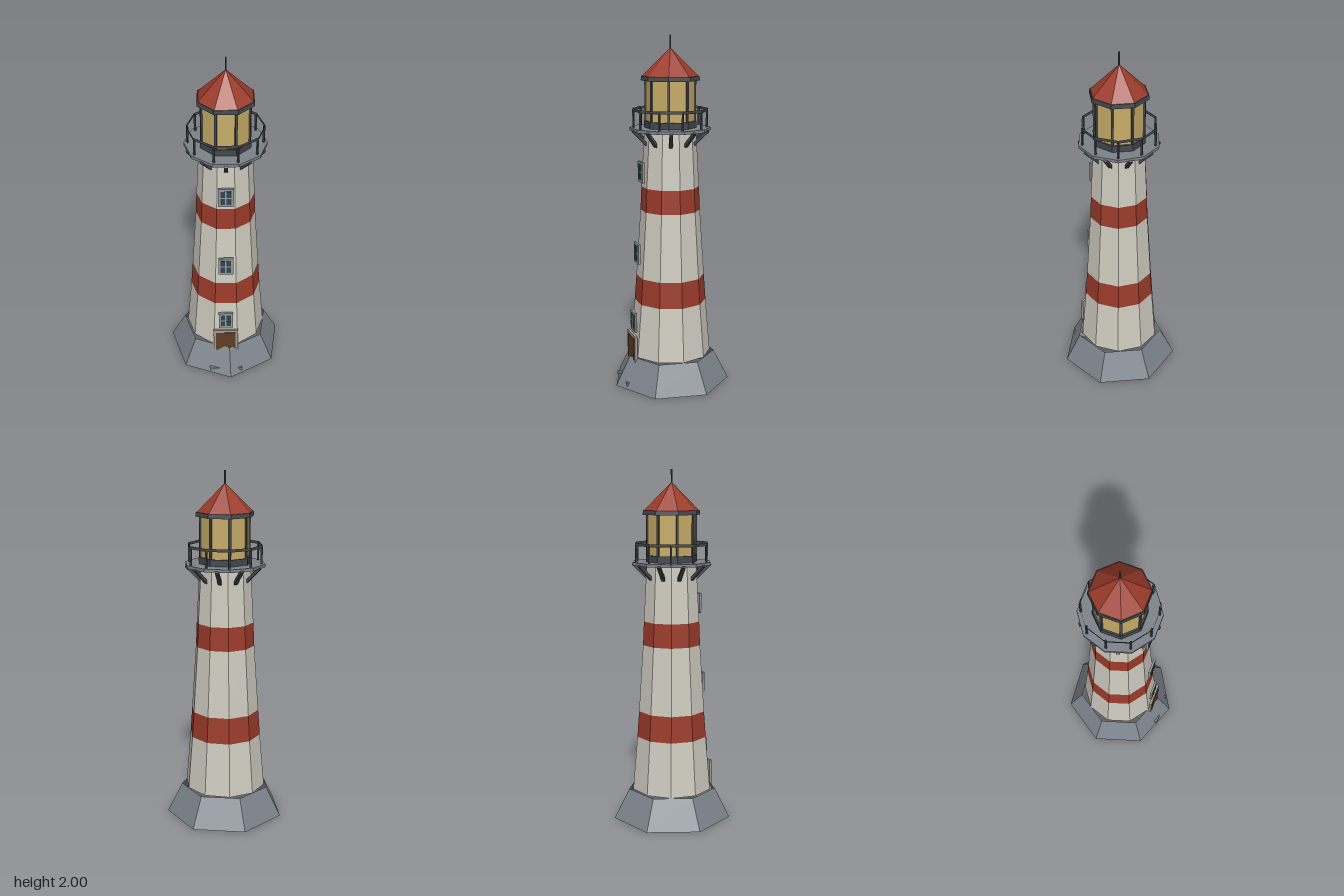
import * as THREE from 'three';

const mat = (color) => new THREE.MeshStandardMaterial({ color, flatShading: true, side: THREE.DoubleSide });
const M = {
  stone: mat(0x7d848c), wall: mat(0xcfccc0), red: mat(0x9c3b2a), metal: mat(0x43494f),
  deck: mat(0x7d828a), glow: mat(0xc9ad68), trim: mat(0x979b9c), pane: mat(0x2f4552),
  frame: mat(0xa39c8f), wood: mat(0x5f3d22),
};

export function createModel() {
  const root = new THREE.Group();
  root.name = 'lighthouse';
  const body = new THREE.Group();
  body.name = 'body';
  body.position.set(0.003, 0, -0.012);
  root.add(body);

  const add = (name, geometry, material, x = 0, y = 0, z = 0, parent = body) => {
    const mesh = new THREE.Mesh(geometry, material);
    mesh.name = name;
    mesh.position.set(x, y, z);
    parent.add(mesh);
    return mesh;
  };
  // Many-sided ring or frustum between two heights, start angle in degrees
  const prism = (name, sides, start, y0, r0, y1, r1, material, open = false) =>
    add(name, new THREE.CylinderGeometry(r1, r0, y1 - y0, sides, 1, open, THREE.MathUtils.degToRad(start)),
      material, 0, (y0 + y1) / 2, 0);
  const box = (name, w, h, d, material, x, y, z, parent) =>
    add(name, new THREE.BoxGeometry(w, h, d), material, x, y, z, parent);

  // Seven-sided open foundation
  prism('foundation', 7, 5, 0, 0.343, 0.17, 0.256, M.stone, true);

  // Ten-sided tapering tower with two red bands
  const rings = [[0.172, 0.234], [0.485, 0.207], [0.635, 0.196], [1.02, 0.17], [1.155, 0.164], [1.476, 0.146]];
  for (let i = 0; i < rings.length - 1; i++) {
    const [y0, r0] = rings[i], [y1, r1] = rings[i + 1];
    prism(i % 2 ? 'redBand' : 'towerWall', 10, 18, y0, r0, y1, r1, i % 2 ? M.red : M.wall, true);
  }

  // Gallery deck, railing and brackets
  prism('galleryDeck', 10, 18, 1.474, 0.228, 1.491, 0.228, M.deck);
  prism('handrail', 10, 18, 1.582, 0.212, 1.598, 0.212, M.metal, true);
  for (let i = 0; i < 10; i++) {
    const a = (i * Math.PI) / 5, p = a + Math.PI / 10;
    add('railPost', new THREE.CylinderGeometry(0.007, 0.007, 0.1, 5, 1, true), M.metal,
      0.206 * Math.sin(p), 1.54, 0.206 * Math.cos(p));
    const arm = new THREE.Group();
    arm.name = 'bracket';
    arm.rotation.y = a;
    body.add(arm);
    const strut = box('strut', 0.02, 0.016, 0.115, M.metal, 0, 1.437, 0.178, arm);
    strut.rotation.x = -Math.PI / 4;
  }

  // Eight-sided lantern room
  prism('lanternSill', 8, 22.5, 1.491, 0.148, 1.528, 0.148, M.metal);
  prism('lanternGlass', 8, 22.5, 1.528, 0.138, 1.755, 0.138, M.glow, true);
  for (let i = 0; i < 8; i++) {
    const a = ((i + 0.5) * Math.PI) / 4;
    const post = box('lanternPost', 0.013, 0.227, 0.013, M.metal, 0.138 * Math.sin(a), 1.641, 0.138 * Math.cos(a));
    post.rotation.y = a;
  }

  // Roof with dark eaves and a finial
  prism('eaves', 8, 22.5, 1.752, 0.165, 1.776, 0.162, M.metal);
  add('roof', new THREE.ConeGeometry(0.157, 0.155, 8, 1, false, Math.PI / 8), M.red, 0, 1.8535, 0);
  add('finial', new THREE.CylinderGeometry(0.005, 0.005, 0.085, 6), M.metal, 0, 1.9575, 0);

  // Four-pane windows up the front
  for (const [y, z] of [[0.372, 0.223], [0.777, 0.2], [1.245, 0.173]]) {
    const win = new THREE.Group();
    win.name = 'window';
    win.position.set(0, y, z);
    body.add(win);
    box('windowFrame', 0.085, 0.116, 0.013, M.trim, 0, 0, 0, win);
    for (const sx of [-1, 1]) for (const sy of [-1, 1])
      box('windowPane', 0.026, 0.04, 0.004, M.pane, sx * 0.017, sy * 0.024, 0.006, win);
  }

  // Door and its step
  box('doorFrame', 0.147, 0.265, 0.015, M.frame, 0, 0.1675, 0.2325);
  box('door', 0.118, 0.247, 0.006, M.wood, 0, 0.1585, 0.24);
  box('doorStep', 0.196, 0.022, 0.09, M.stone, 0, 0.026, 0.252);

  return root;
}
